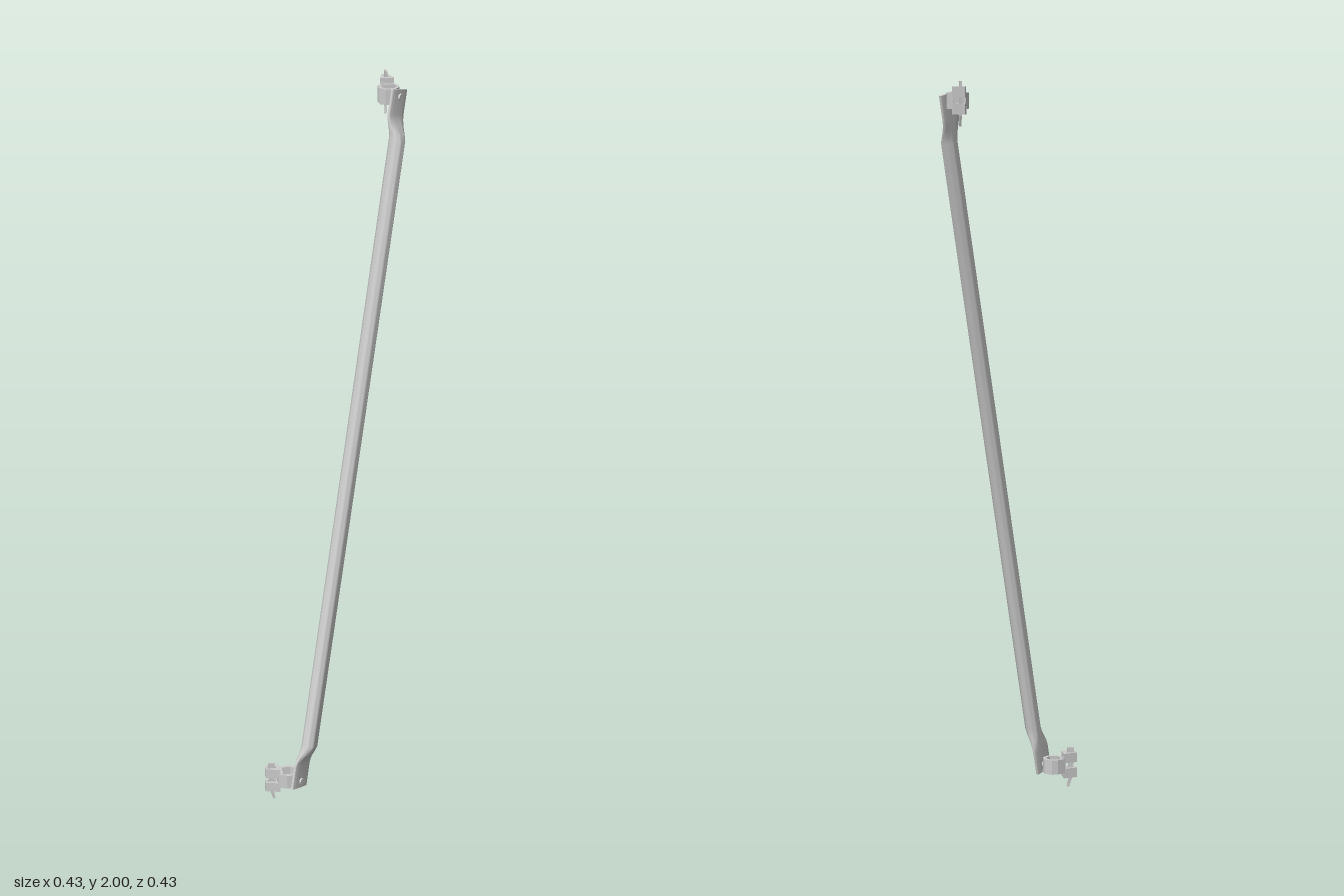
import * as THREE from 'three';
import { toCreasedNormals } from 'three/addons/utils/BufferGeometryUtils.js';

const material = new THREE.MeshStandardMaterial({ color: 0xcccccc, side: THREE.DoubleSide });

function part(name, geometry, parent, x = 0, y = 0, z = 0) {
  const mesh = new THREE.Mesh(geometry, material);
  mesh.name = name;
  mesh.position.set(x, y, z);
  parent.add(mesh);
  return mesh;
}

// Points in plan (x, z); pairs are mirrored in x to close the outline
const mirrored = (half) => [...half, ...half.map(([x, z]) => [-x, z]).reverse()]
  .map(([x, z]) => new THREE.Vector2(x, -z));

// Upright prism from a plan outline, from y0 to y1
function prism(outline, hole, y0, y1) {
  const shape = new THREE.Shape(mirrored(outline));
  if (hole) shape.holes.push(new THREE.Path(mirrored(hole)));
  const geo = new THREE.ExtrudeGeometry(shape, { depth: y1 - y0, bevelEnabled: false });
  return geo.rotateX(-Math.PI / 2).translate(0, y0, 0);
}

// Round tube whose ends are squashed flat toward one side
function braceTube() {
  const R = 0.022, HALF_W = 0.033, HALF_T = 0.006, SEG = 40;
  // [distance from centre, flatness, scale]
  const end = [[0.855, 0], [0.872, 0.22], [0.89, 0.6], [0.907, 0.9], [0.92, 1], [0.987, 1], [0.987, 1, 0]];
  const sections = [...end.map(([s, f, k]) => [-s, f, k]).reverse(), ...end];
  const pos = [], idx = [];
  const lerp = THREE.MathUtils.lerp;
  sections.forEach(([s, f, k = 1], i) => {
    for (let j = 0; j < SEG; j++) {
      const a = (j / SEG) * Math.PI * 2, c = Math.cos(a), n = Math.sin(a);
      const flatN = HALF_T * Math.sign(n) * Math.pow(Math.abs(n), 0.4);
      pos.push(k * lerp(R, HALF_W, f) * c, s, lerp(0.06, 0.044, f) + k * lerp(R * n, flatN, f));
      if (i < sections.length - 1) {
        const p = i * SEG + j, q = i * SEG + (j + 1) % SEG;
        idx.push(p, p + SEG, q, q, p + SEG, q + SEG);
      }
    }
  });
  const geo = new THREE.BufferGeometry();
  geo.setAttribute('position', new THREE.Float32BufferAttribute(pos, 3));
  geo.setIndex(idx);
  return toCreasedNormals(geo, 0.7);
}

// Pivot bolt along the local z axis
function pivotBolt(name, parent, x, y) {
  const bolt = new THREE.Group();
  bolt.name = name;
  bolt.position.set(x, y, 0);
  parent.add(bolt);
  const disc = (label, r, z0, z1, sides = 24) => part(label,
    new THREE.CylinderGeometry(r, r, z1 - z0, sides).rotateX(Math.PI / 2), bolt, 0, 0, (z0 + z1) / 2);
  disc('boltShank', 0.006, 0.02, 0.052);
  disc('boltCollar', 0.012, 0.034, 0.039);
  disc('boltOuterHead', 0.009, 0.049, 0.055);
  part('boltInnerHead', new THREE.BoxGeometry(0.017, 0.017, 0.012), bolt, 0, 0, 0.022);
}

// Wedge coupler: octagonal collar, slotted jaws and a locking wedge, tail toward -z
function coupler(name) {
  const g = new THREE.Group();
  g.name = name;
  part('couplerCollar', prism(
    [[0.018, -0.03], [0.028, -0.008], [0.028, 0.01], [0.013, 0.029]],
    [[0.018, -0.018], [0.019, 0.006], [0.01, 0.019]], -0.021, 0.021), g);
  part('couplerNeck', new THREE.BoxGeometry(0.03, 0.05, 0.008), g, 0, 0, -0.029);
  const jaw = [[0.0185, -0.027], [0.009, -0.067]];
  const slot = [[0.005, -0.037], [0.005, -0.061]];
  part('upperJaw', prism(jaw, slot, 0.008, 0.036), g);
  part('lowerJaw', prism(jaw, slot, -0.036, -0.008), g);
  const wedge = new THREE.Shape([[0.04, 0.05], [0.059, 0.05], [0.059, 0.02], [0.054, -0.04],
    [0.045, -0.066], [0.039, -0.064], [0.044, -0.036]].map(([x, y]) => new THREE.Vector2(x, y)));
  part('wedge', new THREE.ExtrudeGeometry(wedge, { depth: 0.006, bevelEnabled: false })
    .rotateY(Math.PI / 2).translate(-0.003, 0, 0), g);
  return g;
}

export function createModel() {
  const model = new THREE.Group();
  model.name = 'diagonalBrace';
  const midY = 1.008, rise = 0.942;

  // Brace frame: x along the diagonal plane, z out of it
  const frame = new THREE.Group();
  frame.name = 'brace';
  frame.rotation.y = Math.PI / 4;
  model.add(frame);
  part('braceTube', braceTube(), frame, 0, midY, 0).rotation.z = -Math.atan(0.233);

  for (const s of [1, -1]) {
    const end = s > 0 ? 'upper' : 'lower';
    const y = midY + s * rise;
    pivotBolt(end + 'PivotBolt', frame, s * 0.22, y);
    const c = coupler(end + 'Coupler');
    if (s > 0) c.position.set(0.165, y, -0.152);
    else {
      c.position.set(-0.152, y, 0.165);
      c.rotation.y = Math.PI / 2;
    }
    model.add(c);
  }
  return model;
}
